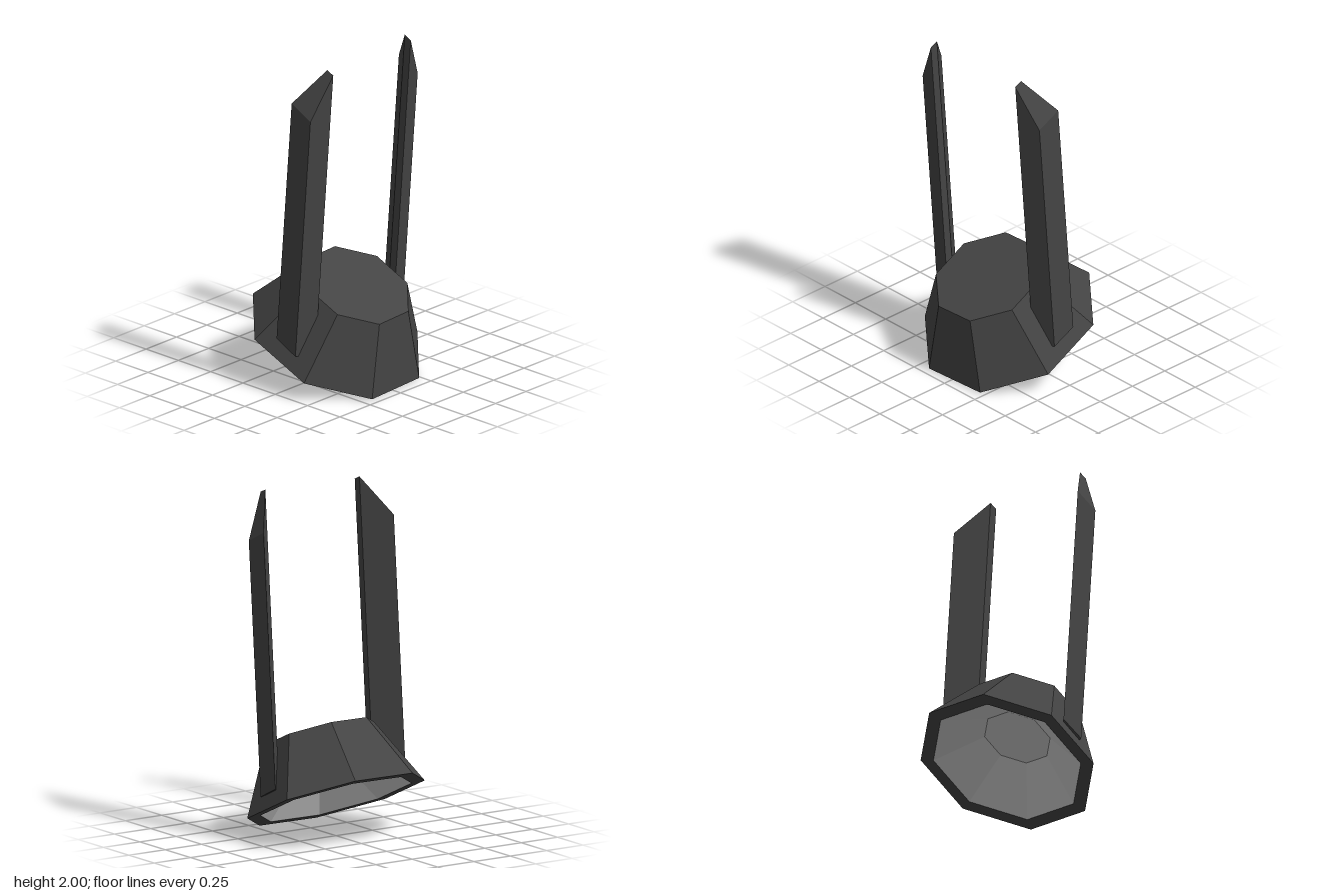
import * as THREE from 'three';

const deg = THREE.MathUtils.degToRad;
const TILT = deg(25), TWIST = deg(25), BASE_Y = 0.208;

const dark = new THREE.MeshStandardMaterial({ color: 0x444444, flatShading: true });
const grey = new THREE.MeshStandardMaterial({ color: 0xcccccc, flatShading: true });

// Eight-sided surface of revolution
function octagon(name, points, material) {
  const profile = points.map(([r, y]) => new THREE.Vector2(r, y));
  const mesh = new THREE.Mesh(new THREE.LatheGeometry(profile, 8, TWIST), material);
  mesh.name = name;
  return mesh;
}

// Leaning bar of trapezoid section, wide on the outside and narrow on the inside,
// with a slanted tip and a foot parallel to the underside of the base
function makeProng(name, side) {
  const outer = { x: [-0.071, 0.08], top: [1.787, 1.714], z: 0.461 };
  const inner = { x: [0.073, 0.121], top: [1.993, 1.972], z: 0.333 };
  const lean = 0.08, footHeight = 0.078;
  const geometry = new THREE.BoxGeometry(1, 1, 1);
  const p = geometry.attributes.position;
  for (let i = 0; i < p.count; i++) {
    const edge = p.getZ(i) * side > 0 ? outer : inner;
    const k = p.getX(i) > 0 ? 1 : 0;
    const z = side * edge.z;
    const shift = z * 0.042; // the pair is turned slightly with the base
    const x0 = edge.x[k] + shift;
    const foot = BASE_Y - x0 * Math.tan(TILT) + footHeight / Math.cos(TILT);
    const y = p.getY(i) > 0 ? edge.top[k] - shift * Math.tan(TILT) : foot;
    p.setXYZ(i, x0 + y * lean, y, z);
  }
  geometry.computeVertexNormals();
  const mesh = new THREE.Mesh(geometry, dark);
  mesh.name = name;
  return mesh;
}

export function createModel() {
  const model = new THREE.Group();
  model.name = 'prongedBase';

  // Tilted base with a shallow hollow underneath
  const base = new THREE.Group();
  base.name = 'base';
  base.position.y = BASE_Y;
  base.rotation.z = -TILT;
  base.add(
    octagon('baseShell', [[0.45, 0], [0.528, 0], [0.325, 0.388], [0, 0.388]], dark),
    octagon('baseHollow', [[0, 0.2], [0.2, 0.2], [0.45, 0]], grey),
  );
  model.add(base);

  // Pair of upright prongs
  model.add(makeProng('frontProng', 1), makeProng('backProng', -1));
  return model;
}
